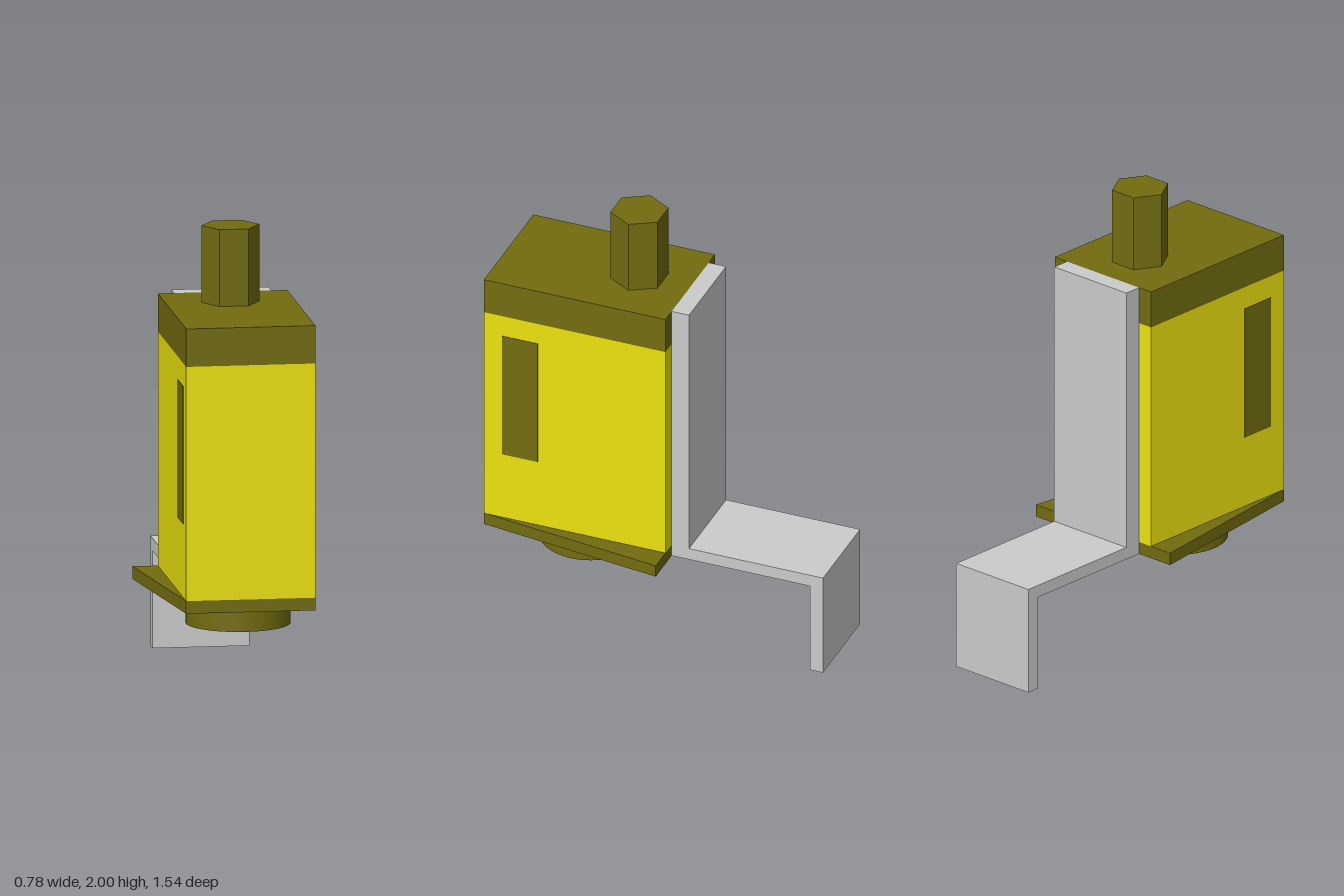
import * as THREE from 'three';
import { toCreasedNormals } from 'three/addons/utils/BufferGeometryUtils.js';

const mat = (color) => new THREE.MeshStandardMaterial({ color });
const yellow = mat(0xece30f), olive = mat(0x726c10), grey = mat(0xcccccc), glass = mat(0xcceeff);

export function createModel() {
  const model = new THREE.Group();

  const add = (name, geometry, material, x = 0, y = 0, z = 0) => {
    const mesh = new THREE.Mesh(geometry, material);
    mesh.name = name;
    mesh.position.set(x, y, z);
    model.add(mesh);
    return mesh;
  };
  const extrude = (points, depth) => new THREE.ExtrudeGeometry(
    new THREE.Shape(points.map(([x, y]) => new THREE.Vector2(x, y))),
    { depth, bevelEnabled: false });

  // Housing and its cap
  const midZ = 0.35, width = 0.56, length = 0.84;
  add('housing', new THREE.BoxGeometry(width, 1.02, length), yellow, 0, 0.99, midZ);
  add('cap', new THREE.BoxGeometry(width, 0.165, length), olive, 0, 1.5825, midZ);

  // Flush window on each side
  for (const side of [-1, 1]) {
    add(side > 0 ? 'leftWindow' : 'rightWindow',
      new THREE.BoxGeometry(0.01, 0.6, 0.165), olive, side * 0.277, 1.1, 0.603);
  }

  // Base plate, wider at the back
  const plate = extrude([[-0.28, -0.77], [0.28, -0.77], [0.39, 0.07], [-0.39, 0.07]], 0.055);
  plate.rotateX(-Math.PI / 2);
  add('basePlate', plate, olive, 0, 0.425, 0);

  // Hexagonal post on the cap
  const post = new THREE.CylinderGeometry(0.125, 0.125, 0.335, 6).rotateY(Math.PI / 6);
  add('hexPost', toCreasedNormals(post, 0.5), olive, 0, 1.8325, 0.165);

  // Lens ring under the base, with a recessed glass disc
  const ring = new THREE.LatheGeometry(
    [[0.168, 0.115], [0.168, 0], [0.225, 0], [0.225, 0.115]].map(([r, y]) => new THREE.Vector2(r, y)), 48);
  add('lensRing', toCreasedNormals(ring, 0.6), olive, 0, 0.31, 0.39);
  add('lensGlass', new THREE.CylinderGeometry(0.168, 0.168, 0.07, 48), glass, 0, 0.388, 0.39);

  // Bent mounting bracket behind the housing
  const bracket = extrude([
    [0.07, 0.425], [0.71, 0.425], [0.71, 0], [0.77, 0],
    [0.77, 0.48], [0.15, 0.48], [0.15, 1.665], [0.07, 1.665],
  ], 0.42);
  bracket.translate(0, 0, -0.21).rotateY(Math.PI / 2);
  add('bracket', bracket, grey);

  return model;
}
